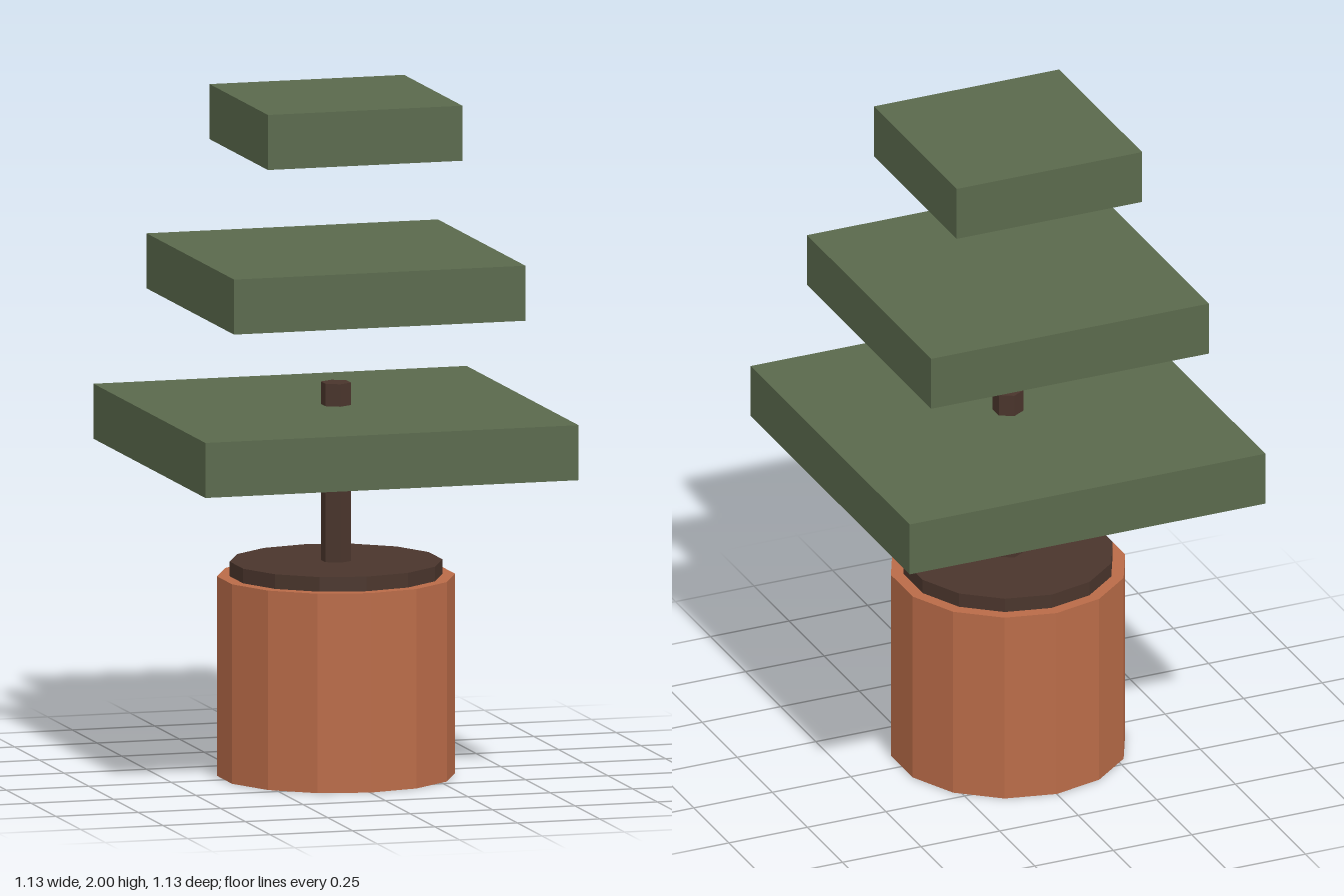
import * as THREE from 'three';

const material = (color) => new THREE.MeshStandardMaterial({ color, flatShading: true });

export function createModel() {
  const model = new THREE.Group();
  model.name = 'pottedTree';

  const clay = material(0xb96b48);
  const earth = material(0x4a352c);
  const leaf = material(0x5a694c);

  // Adds a part resting between two heights
  const add = (name, geometry, mat, bottom, top) => {
    const mesh = new THREE.Mesh(geometry, mat);
    mesh.name = name;
    mesh.position.y = (bottom + top) / 2;
    model.add(mesh);
  };
  const prism = (name, radius, sides, mat, bottom, top) =>
    add(name, new THREE.CylinderGeometry(radius, radius, top - bottom, sides), mat, bottom, top);

  // Pot, soil disc and thin trunk
  prism('pot', 0.347, 14, clay, 0, 0.587);
  prism('soil', 0.31, 14, earth, 0.55, 0.63);
  prism('trunk', 0.045, 6, earth, 0.6, 1.155);

  // Square foliage slabs, shrinking upward: [half width, bottom]
  const thickness = 0.162;
  const tiers = [[0.566, 0.927], [0.442, 1.383], [0.295, 1.838]];
  tiers.forEach(([half, bottom], i) => {
    const slab = new THREE.BoxGeometry(half * 2, thickness, half * 2);
    add(`foliageTier${i + 1}`, slab, leaf, bottom, bottom + thickness);
  });

  return model;
}
